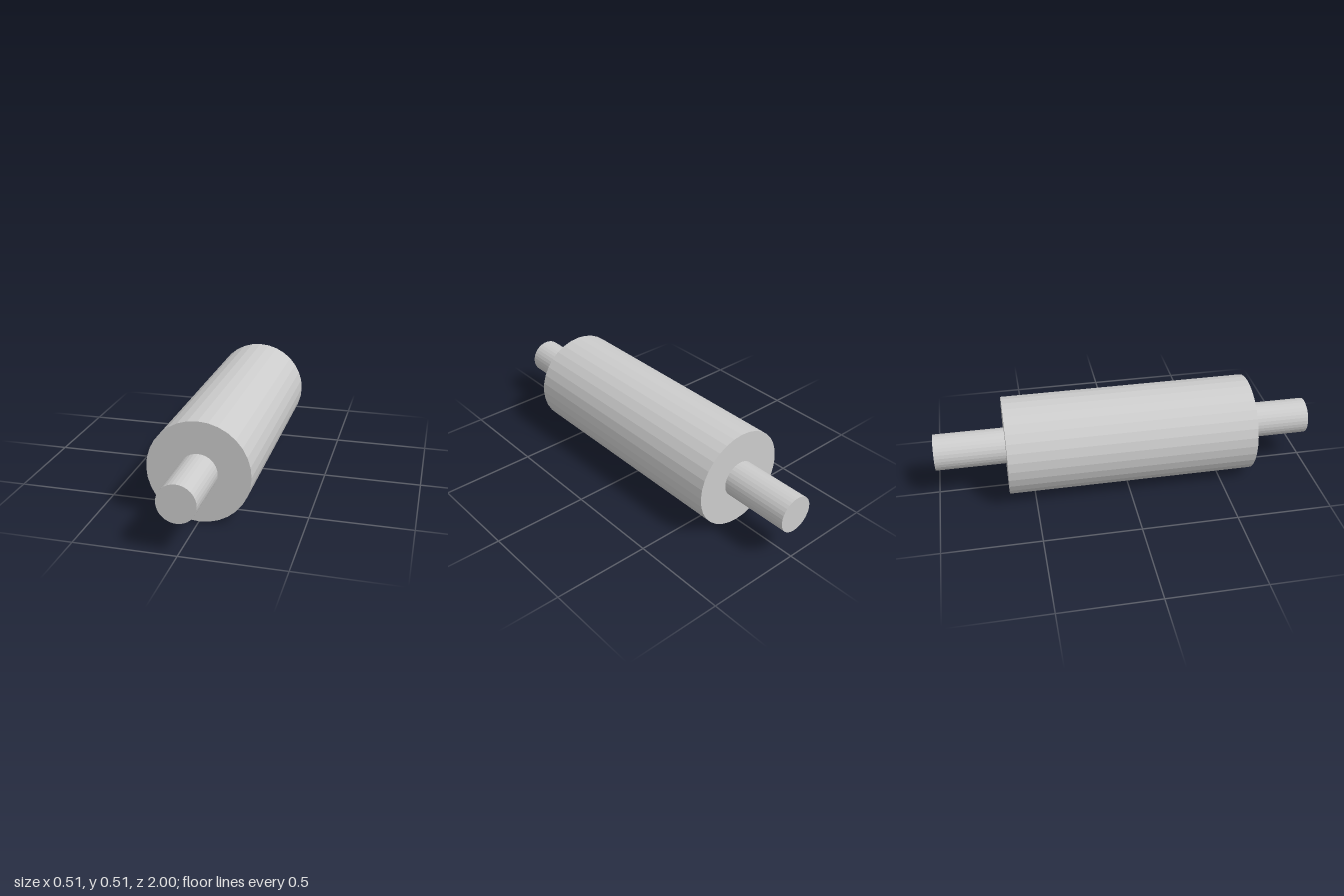
import * as THREE from 'three';

const SIDES = 32;
const DRUM_RADIUS = 0.255;
const SHAFT_RADIUS = 0.094;
const DRUM_BACK = -0.635;
const DRUM_FRONT = 0.665;

export function createModel() {
  const group = new THREE.Group();
  group.name = 'roller';
  const material = new THREE.MeshStandardMaterial({ color: 0xcccccc, flatShading: true });

  // Faceted cylinder along z between two depths
  const addCylinder = (name, radius, zBack, zFront) => {
    const geometry = new THREE.CylinderGeometry(radius, radius, zFront - zBack, SIDES);
    geometry.rotateX(Math.PI / 2);
    const mesh = new THREE.Mesh(geometry, material);
    mesh.name = name;
    mesh.position.set(0, DRUM_RADIUS, (zBack + zFront) / 2);
    group.add(mesh);
  };

  // Wide drum with a narrower shaft out of each end
  addCylinder('drum', DRUM_RADIUS, DRUM_BACK, DRUM_FRONT);
  addCylinder('frontShaft', SHAFT_RADIUS, DRUM_FRONT, 1);
  addCylinder('backShaft', SHAFT_RADIUS, -1, DRUM_BACK);

  return group;
}
